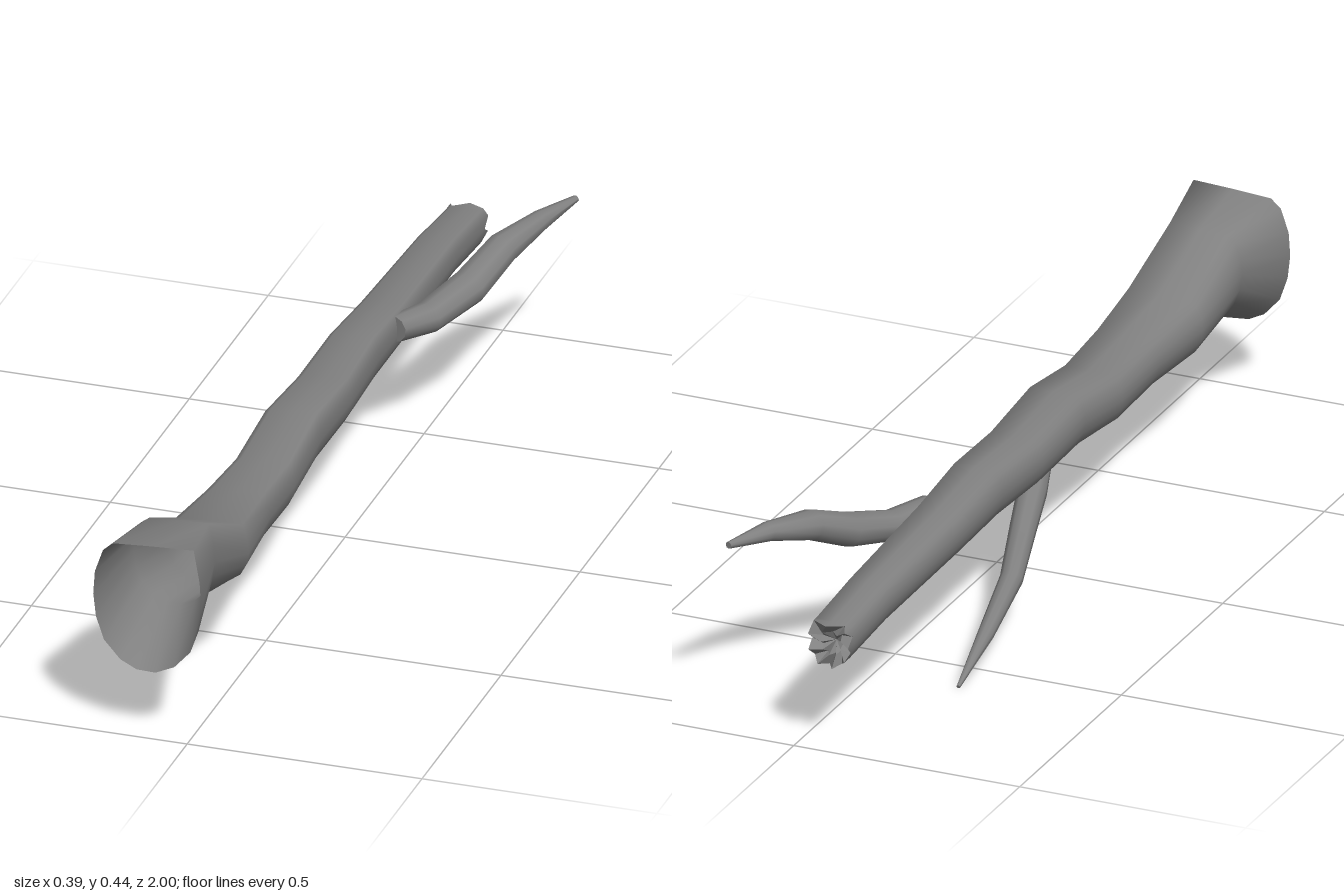
import * as THREE from 'three';
import { toCreasedNormals } from 'three/addons/utils/BufferGeometryUtils.js';

const V = (x, y, z) => new THREE.Vector3(x, y, z);

// Skin a list of closed rings; a ring of identical points forms a closed tip.
function loft(rings, crease) {
  const pos = [];
  const tri = (a, b, c) => {
    if (a.equals(b) || b.equals(c) || a.equals(c)) return;
    for (const p of [a, b, c]) pos.push(p.x, p.y, p.z);
  };
  for (let i = 0; i < rings.length - 1; i++) {
    const r = rings[i], s = rings[i + 1], n = r.length;
    for (let j = 0; j < n; j++) {
      const k = (j + 1) % n;
      tri(r[j], s[j], r[k]);
      tri(r[k], s[j], s[k]);
    }
  }
  const g = new THREE.BufferGeometry();
  g.setAttribute('position', new THREE.Float32BufferAttribute(pos, 3));
  return toCreasedNormals(g, crease);
}

// Trunk outline: flat top, rounded underside, counterclockwise from the front.
const profile = [
  [1, 0.1], [0.97, 0.5], [0.86, 1], [0.1, 0.97], [-0.63, 0.93], [-0.82, 0.8], [-0.97, 0.45], [-1, 0.1],
  [-0.95, -0.25], [-0.8, -0.6], [-0.5, -0.87], [-0.2, -0.99], [0.15, -1], [0.5, -0.87], [0.8, -0.6], [0.95, -0.25],
];

// Trunk stations: z, left x, right x, bottom y, top y.
const stations = [
  [1, -0.2, 0.03, 0.15, 0.437],
  [0.83, -0.17, 0.002, 0.225, 0.415],
  [0.66, -0.16, 0.017, 0.195, 0.337],
  [0.48, -0.145, 0.002, 0.2, 0.322],
  [0.31, -0.14, -0.003, 0.19, 0.312],
  [0.13, -0.138, -0.006, 0.21, 0.337],
  [-0.07, -0.135, -0.01, 0.205, 0.32],
  [-0.26, -0.13, -0.015, 0.21, 0.328],
  [-0.45, -0.128, -0.02, 0.206, 0.31],
  [-0.8, -0.123, -0.028, 0.2, 0.294],
  [-0.97, -0.12, -0.03, 0.184, 0.277],
];

function section([z, x0, x1, y0, y1], scale = 1, jag = () => 0) {
  return profile.map(([u, v], j) => V(
    (x0 + x1) / 2 + u * scale * (x1 - x0) / 2,
    (y0 + y1) / 2 + v * scale * (y1 - y0) / 2,
    z + jag(j),
  ));
}

// Branch of rings set square to its path; each entry is x, y, z, radius.
function branch(points, widen, sides = 10) {
  const centres = points.map(p => V(p[0], p[1], p[2]));
  const ends = centres.length - 1;
  const rings = centres.map((c, i) => {
    const t = centres[Math.min(i + 1, ends)].clone().sub(centres[Math.max(i - 1, 0)]).normalize();
    const n = V(0, 1, 0).addScaledVector(t, -t.y).normalize();
    const b = n.clone().cross(t);
    return Array.from({ length: sides }, (_, j) => {
      const a = j / sides * Math.PI * 2, r = points[i][3];
      return c.clone().addScaledVector(n, Math.cos(a) * r).addScaledVector(b, Math.sin(a) * r * widen);
    });
  });
  rings.unshift(Array(sides).fill(centres[0]));
  rings.push(Array(sides).fill(centres[ends]));
  return loft(rings, 0.95);
}

export function createModel() {
  const group = new THREE.Group();
  const material = new THREE.MeshStandardMaterial({ color: 0x808080, side: THREE.DoubleSide });
  const add = (name, geometry) => {
    const mesh = new THREE.Mesh(geometry, material);
    mesh.name = name;
    group.add(mesh);
  };

  // Hollow trunk, open at the flared base
  const last = stations[stations.length - 1];
  const jagged = j => (j % 2 ? -0.03 : -0.004 - 0.004 * (j % 3));
  const brokenRim = section(last, 1, jagged);
  add('trunk', loft([...stations.map(s => section(s)), brokenRim], 1.65));

  // Splintered end with a sunken core
  const inner = section(last, 0.5, j => (j % 2 ? 0 : -0.015));
  const core = V((last[1] + last[2]) / 2, (last[3] + last[4]) / 2, last[0] + 0.015);
  add('brokenEnd', loft([brokenRim, inner, profile.map(() => core)], 0.2));

  add('leftBranch', branch([
    [-0.026, 0.283, -0.39, 0.027],
    [0.015, 0.274, -0.48, 0.032],
    [0.066, 0.3, -0.59, 0.036],
    [0.102, 0.344, -0.69, 0.032],
    [0.148, 0.365, -0.8, 0.02],
    [0.187, 0.37, -0.905, 0.007],
  ], 1.15));

  add('rightBranch', branch([
    [-0.07, 0.255, 0.06, 0.03],
    [-0.105, 0.2, -0.06, 0.031],
    [-0.13, 0.163, -0.16, 0.028],
    [-0.167, 0.115, -0.3, 0.024],
    [-0.182, 0.06, -0.46, 0.017],
    [-0.187, 0.004, -0.605, 0.004],
  ], 1));

  return group;
}
